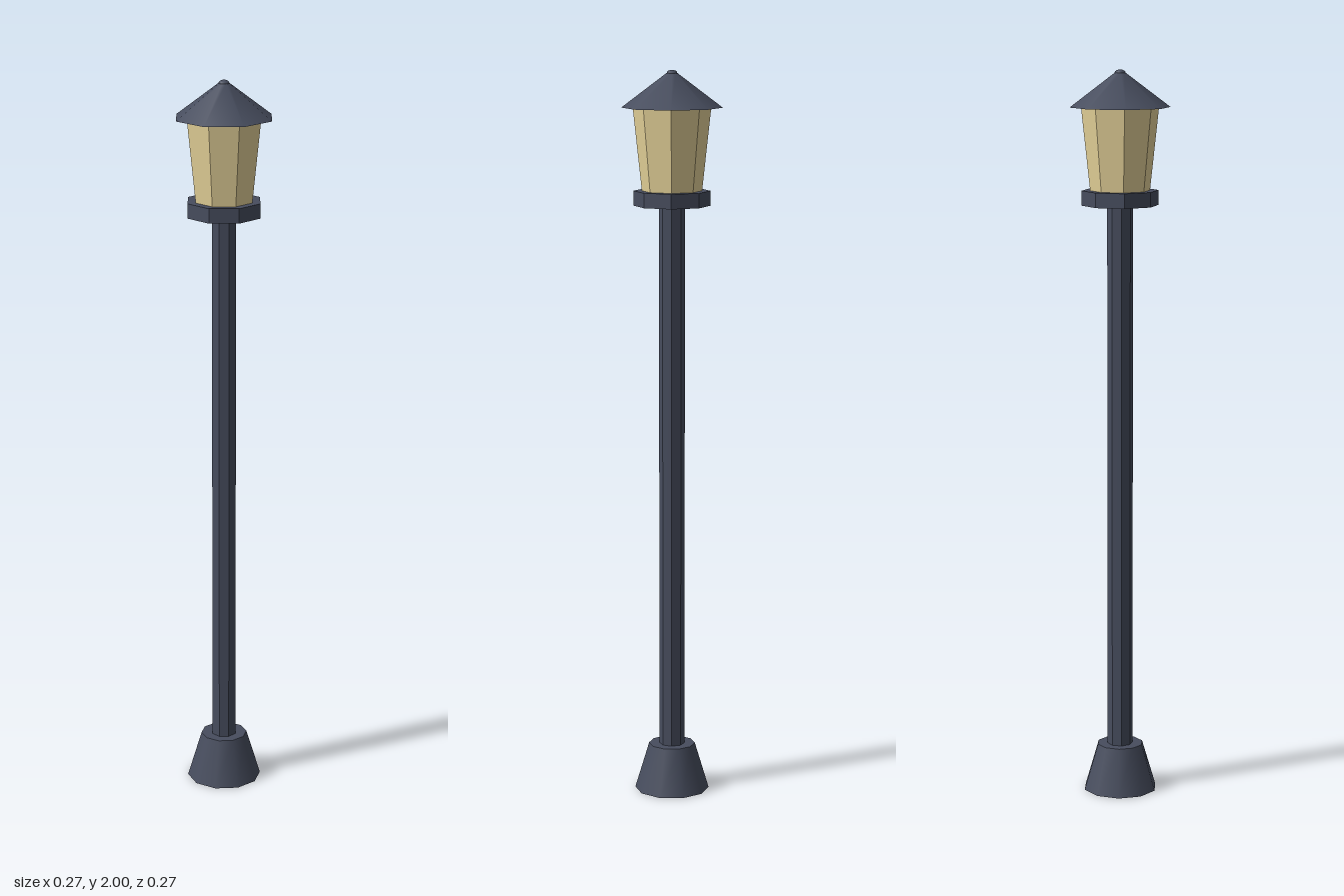
import * as THREE from 'three';

export function createModel() {
  const lamp = new THREE.Group();
  lamp.name = 'streetLamp';

  const metal = new THREE.MeshStandardMaterial({ color: 0x474d5e });
  metal.name = 'dark metal';
  const glass = new THREE.MeshStandardMaterial({ color: 0xe6d39a });
  glass.name = 'warm glass';

  // Upright tapered prism; faceted ones get one normal per face
  function prism(name, material, rBottom, rTop, y0, y1, sides, faceted) {
    let geometry = new THREE.CylinderGeometry(rTop, rBottom, y1 - y0, sides);
    if (faceted) {
      geometry = geometry.toNonIndexed();
      geometry.computeVertexNormals();
    }
    geometry.translate(0, (y0 + y1) / 2, 0);
    const mesh = new THREE.Mesh(geometry, material);
    mesh.name = name;
    lamp.add(mesh);
  }

  // Foot and post
  prism('foot', metal, 0.103, 0.064, 0, 0.13, 10, false);
  prism('post', metal, 0.035, 0.035, 0.12, 1.65, 8, true);

  // Lantern: collar, flared glass and pitched roof
  prism('collar', metal, 0.104, 0.104, 1.638, 1.678, 8, true);
  prism('lanternGlass', glass, 0.081, 0.105, 1.678, 1.9, 8, true);
  prism('roof', metal, 0.136, 0.014, 1.9, 1.992, 8, false);

  // Small rounded tip
  const tipGeometry = new THREE.SphereGeometry(0.015, 10, 4, 0, Math.PI * 2, 0, Math.PI / 2);
  tipGeometry.scale(1, 0.6, 1);
  const tip = new THREE.Mesh(tipGeometry, metal);
  tip.name = 'roofTip';
  tip.position.y = 1.991;
  lamp.add(tip);

  return lamp;
}
